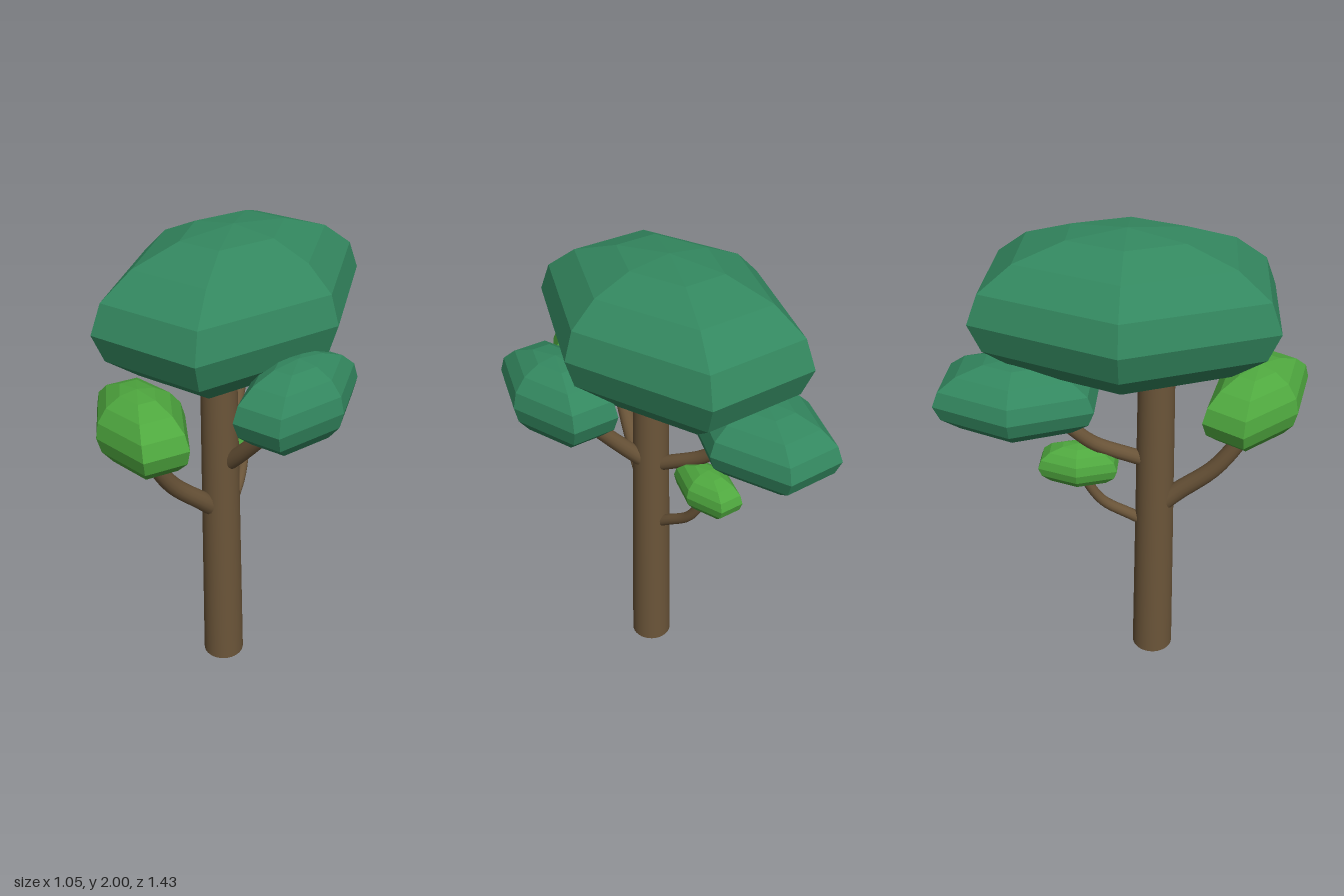
import * as THREE from 'three';

const bark = new THREE.MeshStandardMaterial({ color: 0x6b5539 });
const darkLeaf = new THREE.MeshStandardMaterial({ color: 0x33875f, flatShading: true });
const lightLeaf = new THREE.MeshStandardMaterial({ color: 0x4fa83f, flatShading: true });

// Faceted six-sided leaf clump, stretched to its three radii
function clump(name, material, center, radii, turn = 0, tilt = 0) {
  const mesh = new THREE.Mesh(new THREE.SphereGeometry(1, 6, 8), material);
  mesh.name = name;
  mesh.position.set(...center);
  mesh.scale.set(...radii);
  mesh.rotation.set(0, turn, tilt, 'ZYX');
  return mesh;
}

// Bent branch that narrows from r0 to r1 along its path
function branch(name, points, r0, r1) {
  const curve = new THREE.CatmullRomCurve3(points.map(p => new THREE.Vector3(...p)));
  const steps = 16, sides = 14;
  const geometry = new THREE.TubeGeometry(curve, steps, 1, sides);
  const pos = geometry.attributes.position;
  const v = new THREE.Vector3();
  for (let i = 0; i <= steps; i++) {
    const c = curve.getPointAt(i / steps);
    const r = THREE.MathUtils.lerp(r0, r1, i / steps);
    for (let j = 0; j <= sides; j++) {
      const k = i * (sides + 1) + j;
      v.fromBufferAttribute(pos, k).sub(c).multiplyScalar(r).add(c);
      pos.setXYZ(k, v.x, v.y, v.z);
    }
  }
  geometry.computeBoundingSphere();
  const mesh = new THREE.Mesh(geometry, bark);
  mesh.name = name;
  return mesh;
}

export function createModel() {
  const tree = new THREE.Group();
  tree.name = 'tree';

  // Tapered trunk reaching into the crown
  const trunk = new THREE.Mesh(new THREE.CylinderGeometry(0.072, 0.09, 1.52, 32), bark);
  trunk.name = 'trunk';
  trunk.position.set(-0.065, 0.76, 0.114);
  tree.add(trunk);

  // Branches, each starting inside the trunk and ending inside its clump
  tree.add(
    branch('frontBranch', [[-0.08, 0.78, 0.12], [-0.09, 0.87, 0.21], [-0.125, 1.02, 0.36], [-0.14, 1.19, 0.465], [-0.14, 1.3, 0.51]], 0.042, 0.03),
    branch('leftBranch', [[-0.05, 1.01, 0.11], [0.06, 1.12, 0.135], [0.24, 1.32, 0.165], [0.31, 1.41, 0.175]], 0.037, 0.028),
    branch('upperBackBranch', [[-0.065, 1.0, 0.1], [-0.1, 1.05, 0.01], [-0.155, 1.135, -0.13], [-0.19, 1.23, -0.22], [-0.21, 1.34, -0.33]], 0.032, 0.027),
    branch('lowerBackBranch', [[-0.065, 0.68, 0.1], [-0.085, 0.74, 0.01], [-0.11, 0.82, -0.1], [-0.13, 0.93, -0.165], [-0.135, 1.0, -0.19]], 0.026, 0.019),
  );

  // Leaf clumps
  tree.add(
    clump('crown', darkLeaf, [-0.068, 1.705, 0], [0.46, 0.295, 0.65]),
    clump('leftClump', darkLeaf, [0.333, 1.465, 0.175], [0.192, 0.166, 0.323]),
    clump('backClump', darkLeaf, [-0.21, 1.38, -0.41], [0.25, 0.156, 0.352]),
    clump('frontClump', lightLeaf, [-0.14, 1.354, 0.505], [0.175, 0.157, 0.303], 1.035, 0.06),
    clump('smallBackClump', lightLeaf, [-0.132, 1.02, -0.195], [0.108, 0.095, 0.185]),
  );
  return tree;
}
